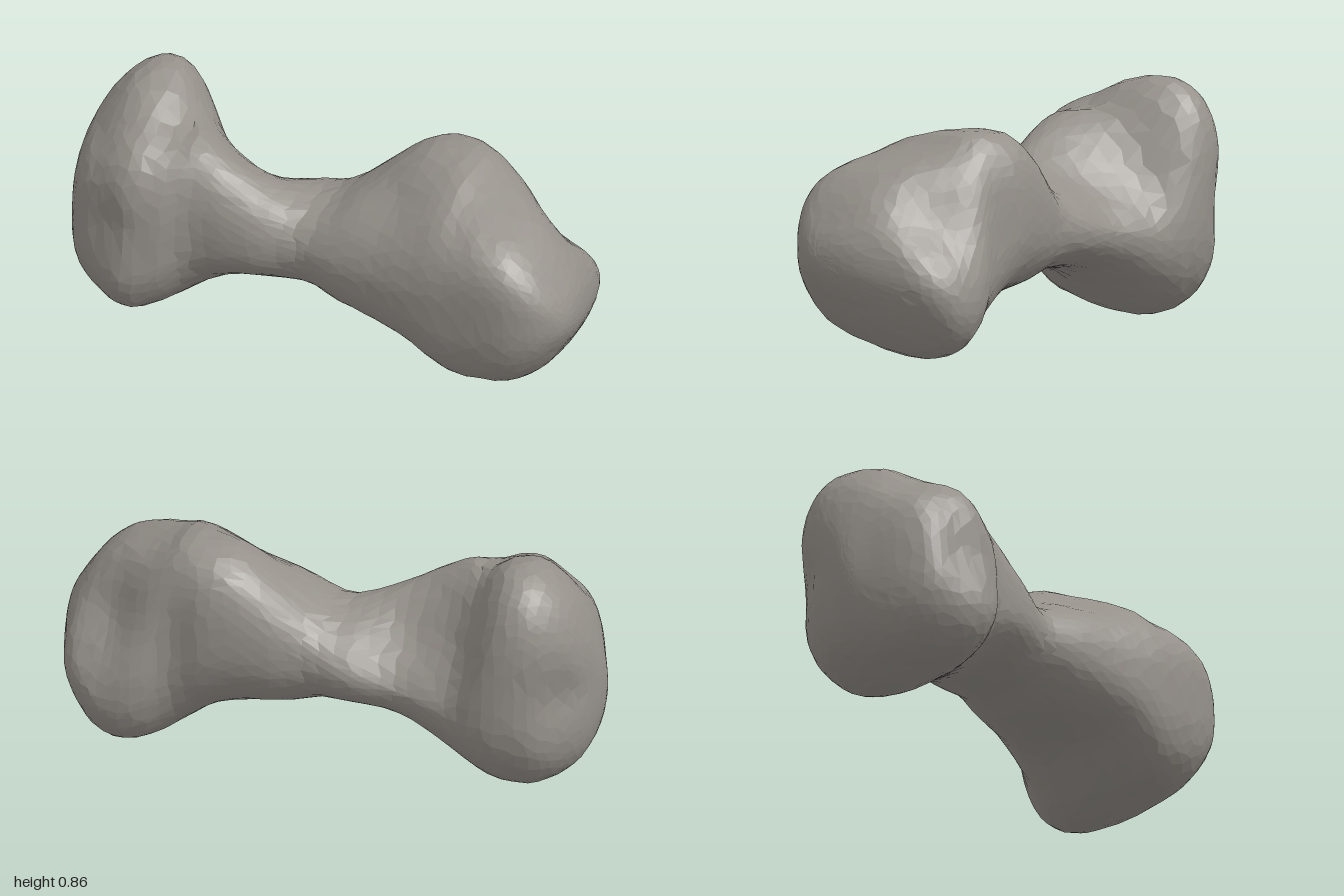
import * as THREE from 'three';

// Silhouette and ridge profiles along the long axis: [x, value]
const top = [[-1, .37], [-.97, .57], [-.95, .64], [-.9, .75], [-.8, .845], [-.72, .865], [-.65, .85], [-.55, .775],
  [-.48, .755], [-.4, .715], [-.3, .66], [-.2, .615], [-.1, .585], [-.03, .578], [.05, .61], [.15, .69], [.25, .77],
  [.33, .812], [.43, .825], [.52, .818], [.6, .775], [.7, .735], [.8, .69], [.88, .625], [.95, .535], [1, .4]];
const bottom = [[-1, .37], [-.95, .15], [-.9, .08], [-.8, .02], [-.72, 0], [-.62, .02], [-.55, .065], [-.4, .16],
  [-.3, .21], [-.2, .235], [0, .245], [.1, .215], [.3, .2], [.4, .18], [.5, .12], [.6, .06], [.7, .035],
  [.8, .06], [.88, .14], [.95, .25], [1, .4]];
const front = [[-1, -.02], [-.98, .06], [-.93, .2], [-.88, .28], [-.8, .33], [-.67, .375], [-.55, .335], [-.45, .275],
  [-.3, .258], [-.2, .245], [-.05, .21], [.1, .25], [.25, .28], [.45, .315], [.6, .325], [.8, .32], [.9, .285],
  [.97, .22], [1, .13]];
const back = [[-1, -.02], [-.98, -.11], [-.95, -.2], [-.9, -.27], [-.8, -.345], [-.7, -.365], [-.6, -.358], [-.5, -.32],
  [-.4, -.295], [-.28, -.265], [-.1, -.28], [.05, -.27], [.2, -.315], [.4, -.345], [.53, -.33], [.65, -.37],
  [.75, -.375], [.85, -.355], [.93, -.27], [.97, -.12], [1, .13]];
const topZ = [[-1, -.02], [-.8, -.11], [-.68, -.09], [-.52, .05], [-.4, .1], [-.2, .07], [0, -.03], [.25, -.12],
  [.45, -.14], [.65, -.09], [.85, .02], [1, .13]];
const bottomZ = [[-1, -.02], [-.72, -.04], [0, -.02], [.4, -.06], [.7, -.14], [.85, -.1], [1, .13]];
const frontY = [[-1, .37], [-.85, .34], [-.65, .28], [-.4, .38], [0, .42], [.5, .43], [.8, .42], [1, .4]];
const backY = [[-1, .37], [-.85, .48], [-.72, .46], [-.55, .33], [-.4, .35], [0, .42], [.35, .52], [.55, .42],
  [.75, .28], [.9, .32], [1, .4]];

// Corner fullness of each quarter: 2 is an ellipse, more is boxier, less is flatter
const frontTop = [[-1, 2], [-.7, 2.5], [-.5, 2.4], [-.1, 2.2], [.3, 1.9], [.55, 2.4], [.75, 3.8], [.93, 3.4], [1, 2]];
const frontBottom = [[-1, 2], [-.7, 2.3], [-.3, 2.1], [.1, 2.2], [.5, 3.4], [.7, 2.8], [1, 2]];
const backTop = [[-1, 2], [-.75, 2.7], [-.63, 2.3], [-.48, 1.5], [-.25, 1.4], [-.02, 2], [.15, 2.5], [.5, 2.8],
  [.65, 2.1], [.8, 1.65], [.93, 1.65], [1, 2]];
const backBottom = [[-1, 2], [-.85, 2.7], [-.7, 2.4], [0, 2.2], [.7, 2.3], [1, 2]];

// Hollows between the lobes: x, y, z, radius, depth
const hollows = [
  [-.64, .8, .1, .12, .04], [-.83, .74, .12, .14, .055], [-.87, .41, -.25, .13, .05],
  [-.72, .44, .35, .13, .035], [-.48, .55, -.23, .14, .02], [-.28, .54, -.12, .14, .02],
  [-.7, .05, .14, .1, .025], [.72, .06, .09, .12, .025],
  [.78, .56, -.27, .18, .055], [.3, .71, .08, .14, .045], [-.4, .2, .22, .16, .015],
];

const angleOf = x => Math.acos(THREE.MathUtils.clamp(-x, -1, 1));

// Cubic interpolation over the end-to-end angle, so that the tips come out round
function sample(points, t) {
  const T = i => angleOf(points[i][0]), V = i => points[i][1], last = points.length - 1;
  let i = 0;
  while (i < last - 1 && t > T(i + 1)) i++;
  const slope = k => {
    const a = Math.max(0, k - 1), b = Math.min(last, k + 1);
    return (V(b) - V(a)) / (T(b) - T(a));
  };
  const h = T(i + 1) - T(i), s = (t - T(i)) / h, s2 = s * s, s3 = s2 * s;
  return (2 * s3 - 3 * s2 + 1) * V(i) + (s3 - 2 * s2 + s) * h * slope(i)
    + (3 * s2 - 2 * s3) * V(i + 1) + (s3 - s2) * h * slope(i + 1);
}

function seeded(seed) {
  return () => {
    seed = (seed * 16807) % 2147483647;
    return seed / 2147483647 - .5;
  };
}

// Point of the cross-section at angle a, joined from four rounded quarters
function surfacePoint(t, a) {
  const c = Math.cos(a), s = Math.sin(a), up = s >= 0, ahead = c >= 0;
  const fullness = up ? (ahead ? frontTop : backTop) : (ahead ? frontBottom : backBottom);
  const k = 2 / sample(fullness, t);
  const zMid = sample(up ? topZ : bottomZ, t), zEnd = sample(ahead ? front : back, t);
  const yMid = sample(ahead ? frontY : backY, t), yEnd = sample(up ? top : bottom, t);
  const p = new THREE.Vector3(-Math.cos(t),
    yMid + (yEnd - yMid) * Math.abs(s) ** k,
    zMid + (zEnd - zMid) * Math.abs(c) ** k);
  let push = 0;
  for (const [x, y, z, r, depth] of hollows) {
    const d2 = (p.x - x) ** 2 + (p.y - y) ** 2 + (p.z - z) ** 2;
    push += depth * Math.exp(-d2 / (r * r));
  }
  const inward = new THREE.Vector3(0, .42 - p.y, -p.z);
  if (inward.length() > .05) p.addScaledVector(inward.normalize(), push);
  return p;
}

function bodyGeometry(rows = 56, sides = 44) {
  const rand = seeded(4217), positions = [], index = [];
  for (let i = 0; i <= rows; i++) {
    const pole = i === 0 || i === rows;
    for (let j = 0; j < sides; j++) {
      // Slightly uneven spacing gives irregular facets
      const dt = pole ? 0 : rand() * .5, da = rand() * .5;
      const t = Math.PI * (i + dt) / rows;
      const a = 2 * Math.PI * (j + da + (i % 2) * .5) / sides;
      const p = surfacePoint(t, a);
      if (!pole) p.y += rand() * .004;
      positions.push(p.x, Math.max(0, p.y), p.z);
    }
  }
  for (let i = 0; i < rows; i++) {
    for (let j = 0; j < sides; j++) {
      const n = (j + 1) % sides;
      const a = i * sides + j, b = i * sides + n, c = a + sides, d = b + sides;
      // Alternate the diagonal to follow the staggered rows
      const faces = i % 2 ? [[a, c, d], [a, d, b]] : [[a, c, b], [b, c, d]];
      for (const f of faces) {
        const poleCorners = f.filter(v => v < sides || v >= rows * sides).length;
        if (poleCorners < 2) index.push(...f);
      }
    }
  }
  const geometry = new THREE.BufferGeometry();
  geometry.setAttribute('position', new THREE.Float32BufferAttribute(positions, 3));
  geometry.setIndex(index);
  geometry.computeVertexNormals();
  return geometry;
}

export function createModel() {
  const group = new THREE.Group();
  group.name = 'asteroid';
  const rock = new THREE.MeshStandardMaterial({ color: 0x96918b, flatShading: true });
  rock.name = 'warm grey rock';
  const body = new THREE.Mesh(bodyGeometry(), rock);
  body.name = 'rockBody';
  group.add(body);
  return group;
}
